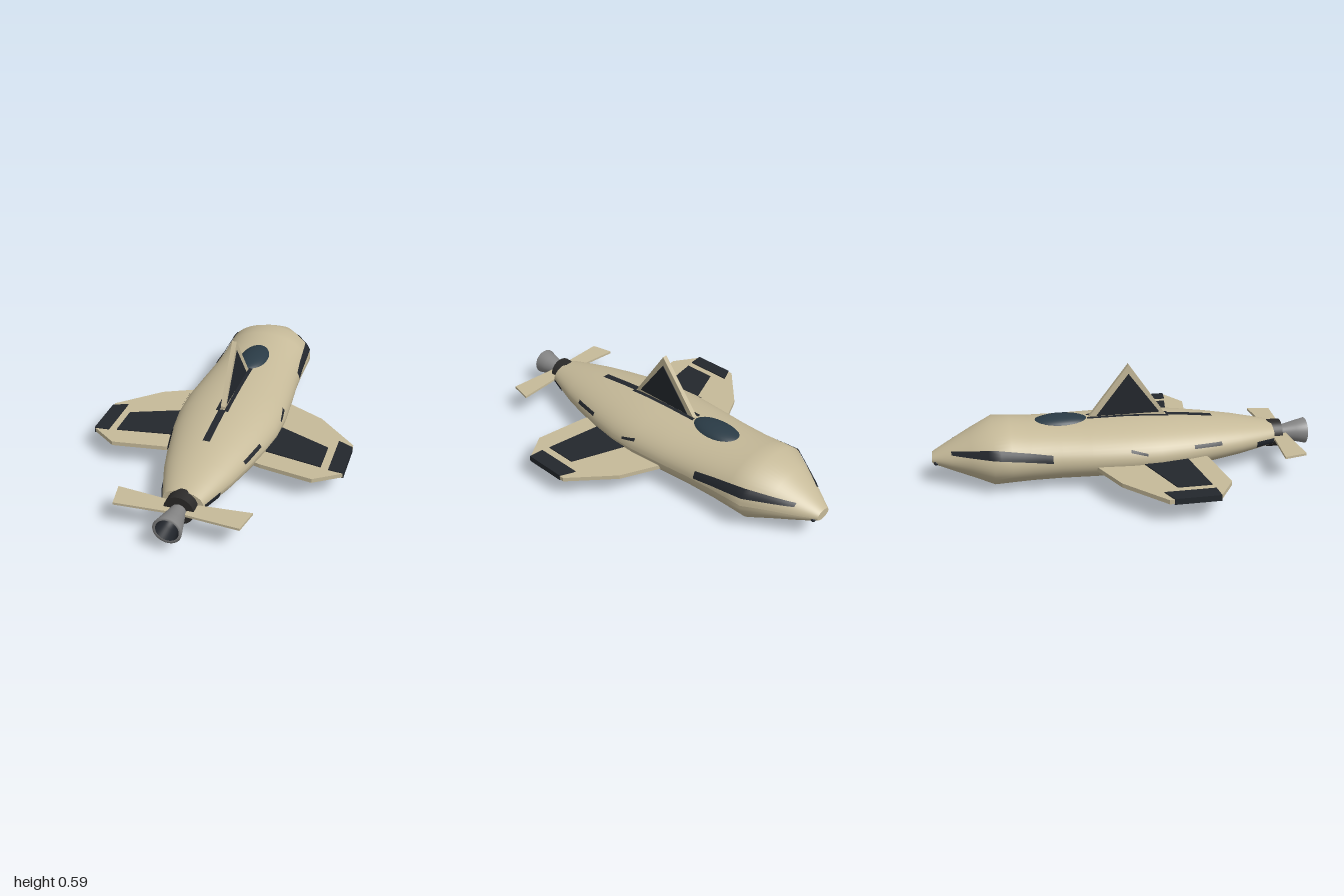
import * as THREE from 'three';

const mat = (color, side = THREE.FrontSide) =>
  new THREE.MeshStandardMaterial({ color, side, roughness: 0.8 });
const tan = mat(0xc6ba99), dark = mat(0x23272d), panel = mat(0x23272d, THREE.DoubleSide);
const glass = mat(0x2a3b46), black = mat(0x2b2a29), metal = mat(0x858585, THREE.DoubleSide);

// Hull stations: z, half width, half height, centre y
const stations = [
  [-1, 0.045, 0.026, 0.154], [-0.97, 0.065, 0.042, 0.156], [-0.9, 0.112, 0.073, 0.162],
  [-0.8, 0.172, 0.118, 0.17], [-0.69, 0.24, 0.165, 0.175], [-0.6, 0.24, 0.159, 0.174],
  [-0.5, 0.24, 0.152, 0.172], [-0.35, 0.246, 0.149, 0.171], [-0.2, 0.26, 0.148, 0.17],
  [0, 0.275, 0.147, 0.17], [0.15, 0.27, 0.142, 0.168], [0.3, 0.247, 0.13, 0.167],
  [0.45, 0.212, 0.114, 0.166], [0.6, 0.172, 0.094, 0.164], [0.72, 0.13, 0.074, 0.162], [0.8, 0.1, 0.06, 0.16],
];

function hullAt(z) {
  let i = 0;
  while (i < stations.length - 2 && stations[i + 1][0] < z) i++;
  const p = stations[i], q = stations[i + 1];
  const t = (z - p[0]) / (q[0] - p[0]);
  return [1, 2, 3].map((k) => p[k] + (q[k] - p[k]) * t);
}

// Smooth surface through a grid of points; rows and columns from fn(row, column)
function gridGeometry(rows, cols, fn) {
  const pos = [], idx = [];
  for (let r = 0; r <= rows; r++) for (let c = 0; c <= cols; c++) pos.push(...fn(r, c));
  for (let r = 0; r < rows; r++) for (let c = 0; c < cols; c++) {
    const a = r * (cols + 1) + c, b = a + cols + 1;
    idx.push(a, a + 1, b, b, a + 1, b + 1);
  }
  const g = new THREE.BufferGeometry();
  g.setAttribute('position', new THREE.Float32BufferAttribute(pos, 3));
  g.setIndex(idx);
  g.computeVertexNormals();
  return g;
}

// Flat slab from a plan outline of [x, z] points, lying between two heights
function slab(points, y0, y1) {
  const shape = new THREE.Shape(points.map(([x, z]) => new THREE.Vector2(x, -z)));
  const g = new THREE.ExtrudeGeometry(shape, { depth: y1 - y0, bevelEnabled: false });
  return g.rotateX(-Math.PI / 2).translate(0, y0, 0);
}

// Upright slab from a side outline of [z, y] points, centred on x = 0
function uprightSlab(points, width) {
  const shape = new THREE.Shape(points.map(([z, y]) => new THREE.Vector2(-z, y)));
  const g = new THREE.ExtrudeGeometry(shape, { depth: width, bevelEnabled: false });
  return g.translate(0, 0, -width / 2).rotateY(Math.PI / 2);
}

export function createModel() {
  const model = new THREE.Group();
  const add = (name, geometry, material) => {
    const m = new THREE.Mesh(geometry, material);
    m.name = name;
    model.add(m);
    return m;
  };

  // Hull: lofted ellipses with closed ends
  add('hull', gridGeometry(stations.length - 1, 56, (r, c) => {
    const [z, a, b, cy] = stations[r], t = (c / 56) * Math.PI * 2;
    return [a * Math.cos(t), cy + b * Math.sin(t), z];
  }), tan);
  for (const [name, s, turn] of [['noseCap', stations[0], Math.PI], ['hullRearCap', stations.at(-1), 0]]) {
    const cap = add(name, new THREE.CircleGeometry(1, 40), tan);
    cap.scale.set(s[1], s[2], 1);
    cap.rotation.y = turn;
    cap.position.set(0, s[3], s[0]);
  }

  // Dark strips wrapped on the hull sides: keys are z, low y, high y
  const sideStrip = (name, keys) => {
    for (const side of [1, -1]) {
      const n = 8, rows = (keys.length - 1) * n;
      add(name, gridGeometry(rows, 4, (r, c) => {
        const i = Math.min(Math.floor(r / n), keys.length - 2), t = r / n - i;
        const [z, lo, hi] = keys[i].map((v, k) => v + (keys[i + 1][k] - v) * t);
        const [a, b, cy] = hullAt(z), y = lo + ((hi - lo) * c) / 4;
        const x = a * Math.sqrt(Math.max(0, 1 - ((y - cy) / b) ** 2)) + 0.005;
        return [side * x, y, z];
      }), panel);
    }
  };
  sideStrip('noseSideStrip', [[-0.9, 0.202, 0.216], [-0.69, 0.217, 0.262], [-0.4, 0.183, 0.222]]);
  sideStrip('midSideStrip', [[-0.01, 0.218, 0.232], [0.075, 0.196, 0.208]]);
  sideStrip('rearSideStrip', [[0.325, 0.2, 0.217], [0.48, 0.192, 0.21]]);
  sideStrip('sternSideStrip', [[0.69, 0.13, 0.168], [0.795, 0.13, 0.165]]);

  // Dark strips along the back of the hull
  const topStrip = (name, x0, x1, z0, z1) => add(name, gridGeometry(20, 2, (r, c) => {
    const z = z0 + ((z1 - z0) * r) / 20, x = x0 + ((x1 - x0) * c) / 2;
    const [a, b, cy] = hullAt(z);
    return [x, cy + b * Math.sqrt(1 - (x / a) ** 2) + 0.005, z];
  }), panel);
  topStrip('finRail', 0.012, 0.032, -0.2, 0.23);
  topStrip('finRail', -0.032, -0.012, -0.2, 0.23);
  topStrip('spineStrip', -0.018, 0.018, 0.22, 0.47);

  // Canopy
  const canopy = add('canopy', new THREE.SphereGeometry(1, 32, 20), glass);
  canopy.scale.set(0.08, 0.04, 0.152);
  canopy.position.set(0, 0.302, -0.34);

  // Dorsal fin with dark inset panels
  add('dorsalFin', uprightSlab([[-0.19, 0.3], [-0.19, 0.32], [0.02, 0.597], [0.21, 0.32], [0.21, 0.3]], 0.024), tan);
  add('dorsalFinPanel', uprightSlab([[-0.15, 0.325], [0.02, 0.547], [0.185, 0.325]], 0.028), dark);

  // Wings, wing panels and tail planes on both sides
  for (const s of [1, -1]) {
    const plan = (pts) => pts.map(([x, z]) => [s * x, z]);
    add('wing', slab(plan([[0.15, -0.22], [0.26, -0.18], [0.45, -0.09], [0.655, 0.1],
      [0.655, 0.35], [0.52, 0.44], [0.25, 0.4], [0.12, 0.36]]), 0.128, 0.15), tan);
    add('wingPanel', slab(plan([[0.2, 0.03], [0.54, 0.165], [0.54, 0.335], [0.2, 0.28]]), 0.124, 0.155), dark);
    add('wingTipPanel', slab(plan([[0.58, 0.09], [0.657, 0.125], [0.657, 0.352], [0.58, 0.345]]), 0.124, 0.155), dark);
    add('tailPlane', slab(plan([[0.04, 0.805], [0.33, 0.78], [0.305, 0.902], [0.04, 0.885]]), 0.148, 0.16), tan);

    // Small nose sensors and belly ports
    add('noseSensor', new THREE.SphereGeometry(0.012, 12, 8), dark).position.set(s * 0.05, 0.142, -0.98);
    add('bellyPort', new THREE.SphereGeometry(0.01, 12, 8), dark).position.set(s * 0.045, 0.093, 0.7);
  }

  // Engine collar and open flared nozzle, turned about the z axis
  const lathe = (name, pts, material) => {
    const g = new THREE.LatheGeometry(pts.map(([r, z]) => new THREE.Vector2(r, z)), 40);
    add(name, g.rotateX(Math.PI / 2), material).position.y = 0.15;
  };
  const collar = new THREE.CylinderGeometry(0.074, 0.074, 0.07, 40).rotateX(Math.PI / 2);
  add('engineCollar', collar, black).position.set(0, 0.15, 0.82);
  lathe('nozzle', [[0.036, 0.85], [0.044, 0.89], [0.056, 0.94], [0.07, 1], [0.056, 1]], metal);
  lathe('nozzleThroat', [[0.056, 1], [0.044, 0.94], [0.03, 0.88], [0.001, 0.87]], panel);

  return model;
}
